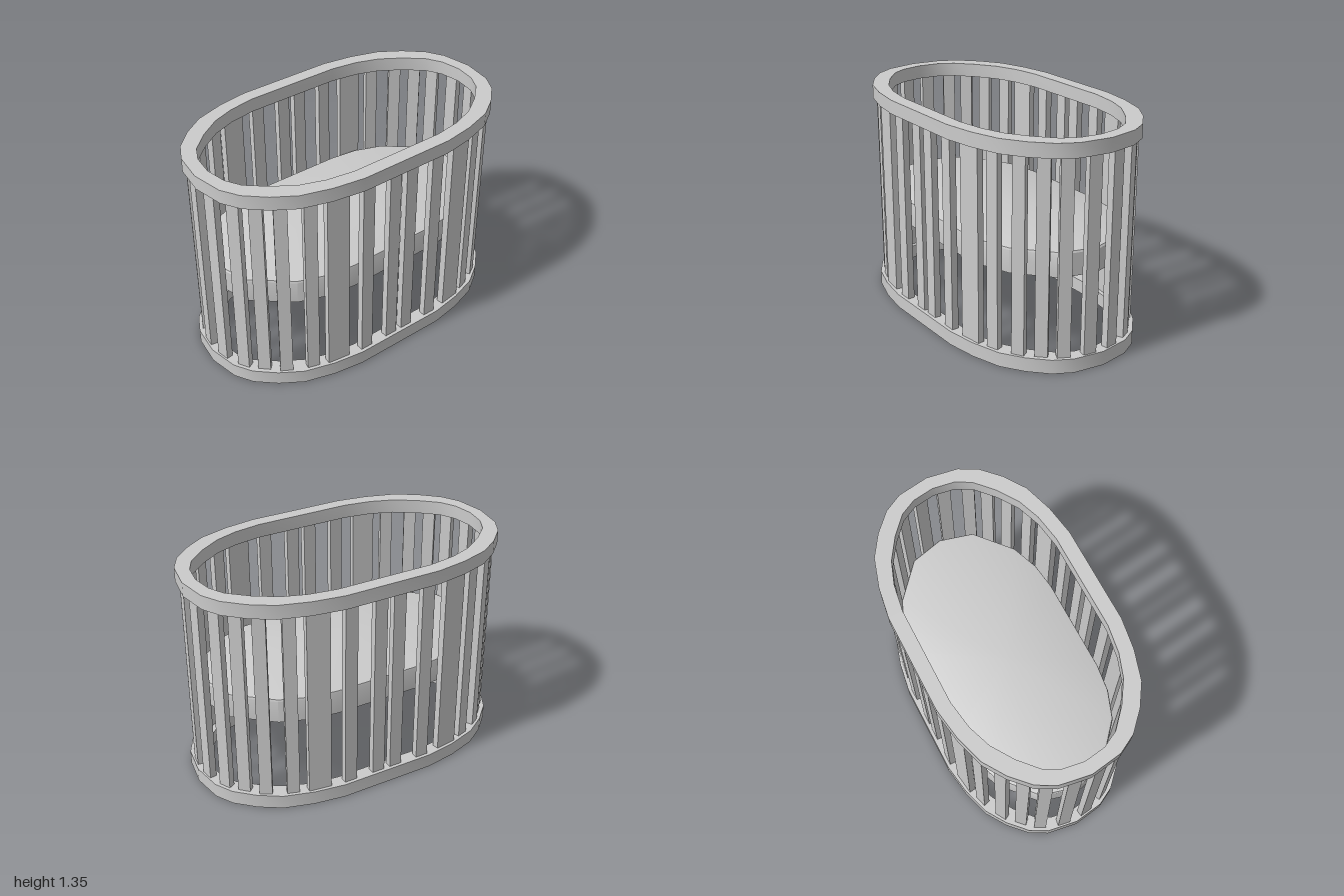
import * as THREE from 'three';
import { toCreasedNormals } from 'three/addons/utils/BufferGeometryUtils.js';

const solid = new THREE.MeshStandardMaterial({ color: 0xcccccc });
const open = new THREE.MeshStandardMaterial({ color: 0xcccccc, side: THREE.DoubleSide });

// Outlines are given for one quarter, from the straight side to the end tip
const RAIL_OUTER = [[0.3, 0.575], [0.49, 0.545], [0.67, 0.49], [0.8, 0.405], [0.91, 0.3], [0.97, 0.19], [1, 0]];
const RAIL_INNER = [[0.3, 0.487], [0.47, 0.46], [0.61, 0.41], [0.74, 0.325], [0.85, 0.225], [0.9, 0.13], [0.92, 0]];
const MATTRESS = [[0.3, 0.485], [0.47, 0.463], [0.64, 0.4], [0.86, 0.21], [0.915, 0]];

// Slats of one quarter: x, z, turn away from the straight side, width
const SLATS = [
  [0.06, 0.533, 0, 0.08],
  [0.25, 0.533, 0, 0.08],
  [0.443, 0.512, 0.14, 0.14],
  [0.595, 0.47, 0.3, 0.075],
  [0.737, 0.402, 0.54, 0.075],
  [0.83, 0.313, 0.78, 0.075],
  [0.907, 0.22, 1.1, 0.075],
  [0.955, 0.077, 1.42, 0.08],
];

// Mirrors a quarter outline into a closed loop
function fullOutline(quarter) {
  const half = [...quarter, ...quarter.slice(0, -1).reverse().map(([x, z]) => [x, -z])];
  return [...half, ...half.slice().reverse().map(([x, z]) => [-x, z])];
}

// Skins a stack of outlines; each row is [quarter outline, height, scale]
function loft(rows) {
  const positions = [];
  const indices = [];
  const count = fullOutline(rows[0][0]).length;
  rows.forEach(([quarter, y, scale = 1], r) => {
    fullOutline(quarter).forEach(([x, z], i) => {
      positions.push(x * scale, y, z * scale);
      if (r === 0) return;
      const next = (i + 1) % count;
      const a = (r - 1) * count + i;
      const b = (r - 1) * count + next;
      const c = r * count + next;
      const d = r * count + i;
      indices.push(a, b, d);
      if (scale > 0) indices.push(b, c, d);
    });
  });
  const geometry = new THREE.BufferGeometry();
  geometry.setAttribute('position', new THREE.Float32BufferAttribute(positions, 3));
  geometry.setIndex(indices);
  return toCreasedNormals(geometry, 0.5);
}

function addMesh(parent, name, geometry, material) {
  const mesh = new THREE.Mesh(geometry, material);
  mesh.name = name;
  parent.add(mesh);
  return mesh;
}

export function createModel() {
  const crib = new THREE.Group();
  crib.name = 'ovalCrib';

  // Bottom rail, a channel open underneath
  addMesh(crib, 'bottomRail', loft([
    [RAIL_OUTER, 0], [RAIL_OUTER, 0.087], [RAIL_INNER, 0.087], [RAIL_INNER, 0],
  ]), open);

  // Top rail, closed all round
  addMesh(crib, 'topRail', loft([
    [RAIL_OUTER, 1.267], [RAIL_OUTER, 1.352], [RAIL_INNER, 1.352], [RAIL_INNER, 1.267], [RAIL_OUTER, 1.267],
  ]), solid);

  // Mattress with a softened top edge, open underneath
  addMesh(crib, 'mattress', loft([
    [MATTRESS, 0.547], [MATTRESS, 0.685], [MATTRESS, 0.696, 0.993], [MATTRESS, 0.7, 0.975], [MATTRESS, 0.7, 0],
  ]), open);

  // Upright slats, mirrored to all four quarters
  const slats = new THREE.Group();
  slats.name = 'slats';
  crib.add(slats);
  for (const [x, z, turn, width] of SLATS) {
    const geometry = new THREE.BoxGeometry(width, 1.19, 0.042);
    for (const sx of [1, -1]) {
      for (const sz of [1, -1]) {
        const slat = addMesh(slats, 'slat', geometry, solid);
        slat.position.set(sx * x, 0.677, sz * z);
        slat.rotation.y = sx * sz * turn;
      }
    }
  }
  return crib;
}
